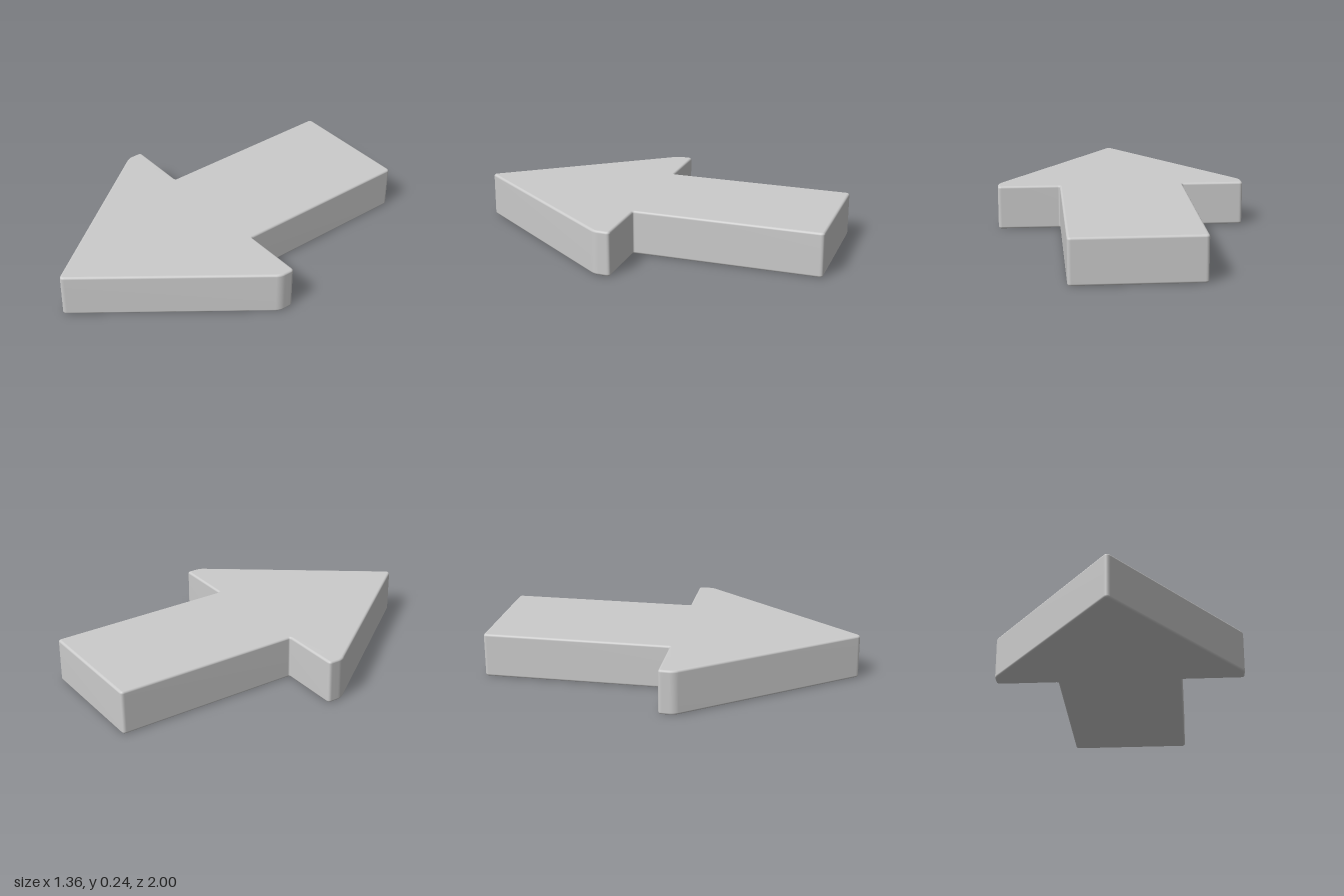
import * as THREE from 'three';
import { mergeVertices } from 'three/addons/utils/BufferGeometryUtils.js';

const HEIGHT = 0.24;
const BEVEL = 0.012;

// Right-hand outline as [x, z, corner rounding], from the tip to the tail
const TIP = [0, 1.01, 0.03];
const SIDE = [
  [0.68, 0.105, 0.025],
  [0.68, 0.02, 0.02],
  [0.34, 0.02, 0.01],
  [0.34, -1, 0.02],
];

// Closed shape with every corner softened by a short curve
function roundedShape(corners) {
  const shape = new THREE.Shape();
  const pts = corners.map(([x, z]) => new THREE.Vector2(x, -z));
  const n = pts.length;
  pts.forEach((p, i) => {
    const r = corners[i][2];
    const toward = (q) => q.clone().sub(p).setLength(r).add(p);
    const a = toward(pts[(i + n - 1) % n]);
    const b = toward(pts[(i + 1) % n]);
    if (i === 0) shape.moveTo(a.x, a.y);
    else shape.lineTo(a.x, a.y);
    shape.quadraticCurveTo(p.x, p.y, b.x, b.y);
  });
  shape.closePath();
  return shape;
}

export function createModel() {
  const group = new THREE.Group();
  group.name = 'arrow';

  // Mirror the side to complete the outline
  const mirrored = SIDE.map(([x, z, r]) => [-x, z, r]).reverse();
  const shape = roundedShape([TIP, ...SIDE, ...mirrored]);

  // Slab with small rounded edges, laid flat on the ground
  let geometry = new THREE.ExtrudeGeometry(shape, {
    depth: HEIGHT - 2 * BEVEL,
    bevelThickness: BEVEL,
    bevelSize: BEVEL,
    bevelOffset: -BEVEL,
    bevelSegments: 4,
    curveSegments: 5,
  });
  geometry.rotateX(-Math.PI / 2);
  geometry.translate(0, BEVEL, 0);

  // Area-weighted normals keep the faces flat and the edges soft
  geometry.deleteAttribute('uv');
  geometry.deleteAttribute('normal');
  geometry = mergeVertices(geometry, 1e-5);
  geometry.computeVertexNormals();

  const body = new THREE.Mesh(geometry, new THREE.MeshStandardMaterial({ color: 0xcccccc }));
  body.name = 'arrowBody';
  group.add(body);
  return group;
}
